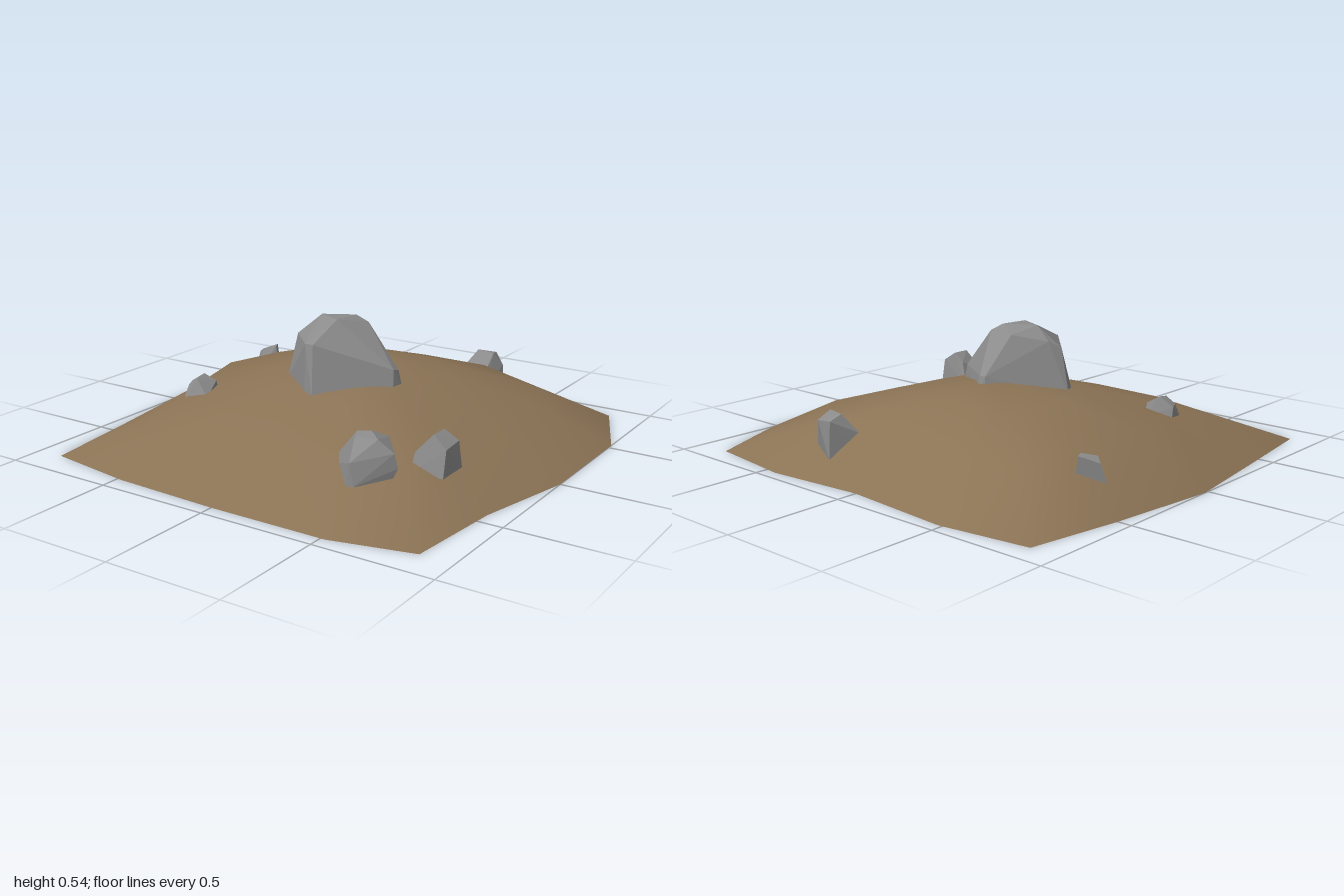
import * as THREE from 'three';
import { ConvexGeometry } from 'three/addons/geometries/ConvexGeometry.js';

const soil = new THREE.MeshStandardMaterial({ color: 0x8b7355 });
const stone = new THREE.MeshStandardMaterial({ color: 0x8c8c8c, flatShading: true });

// Footprint corners [x, z, height of the shoulder above that side]
const rim = [
  [-0.87, -0.9, 0.16], [-0.48, -0.95, 0.19], [0, -0.91, 0.21], [0.44, -0.95, 0.2],
  [0.84, -0.9, 0.15], [1, -0.53, 0.16], [1, 0, 0.15], [0.9, 0.43, 0.15],
  [0.86, 0.86, 0.13], [0.52, 0.94, 0.15], [0, 0.94, 0.16], [-0.48, 0.92, 0.16],
  [-0.88, 0.86, 0.14], [-0.94, 0.43, 0.18], [-1, -0.02, 0.21], [-0.94, -0.5, 0.19],
];
const peak = [-0.05, 0.33, -0.18];

function surface(positions, index) {
  const g = new THREE.BufferGeometry();
  g.setAttribute('position', new THREE.Float32BufferAttribute(positions, 3));
  g.setIndex(index);
  g.computeVertexNormals();
  return g;
}

// Rings shrinking from the rim towards the peak
function moundGeometry() {
  const pos = [], idx = [], n = rim.length;
  const rings = [0, 0.31, 0.65];
  rings.forEach((t, r) => {
    for (const [x, z, h] of rim) {
      const y = [0, h, 0.2 + h * 0.4][r];
      pos.push(x + (peak[0] - x) * t, y, z + (peak[2] - z) * t);
    }
  });
  pos.push(...peak);
  const top = rings.length * n;
  for (let r = 0; r < rings.length; r++) {
    for (let j = 0; j < n; j++) {
      const k = (j + 1) % n, a = r * n + j, b = r * n + k;
      if (r === rings.length - 1) idx.push(a, top, b);
      else idx.push(a, a + n, b, b, a + n, b + n);
    }
  }
  return surface(pos, idx);
}

// Flat underside
function undersideGeometry() {
  const pos = [0, 0, 0], idx = [];
  rim.forEach(([x, z], j) => {
    pos.push(x, 0, z);
    idx.push(0, j + 1, ((j + 1) % rim.length) + 1);
  });
  return surface(pos, idx);
}

// Each rock is the hull of a few corners [x, y, z]
const rocks = {
  largeRock: [
    [-0.29, 0.25, 0.03], [-0.26, 0.25, 0.09], [-0.07, 0.25, 0.23], [-0.02, 0.25, 0.25],
    [0.23, 0.25, 0.01], [0.24, 0.25, -0.05], [-0.02, 0.25, -0.26], [-0.07, 0.25, -0.25],
    [-0.23, 0.45, 0.05], [-0.2, 0.48, 0], [-0.08, 0.46, 0.21], [-0.04, 0.46, 0.21],
    [0.22, 0.33, -0.05], [0.22, 0.34, -0.01], [-0.06, 0.35, -0.24], [-0.03, 0.35, -0.24],
    [-0.13, 0.54, 0.01], [-0.02, 0.54, 0.06], [0, 0.54, -0.06], [0.05, 0.51, -0.08], [-0.09, 0.51, -0.11],
  ],
  frontRock: [
    [0.32, 0.17, 0.55], [0.34, 0.14, 0.59], [0.44, 0.09, 0.69], [0.47, 0.1, 0.68],
    [0.57, 0.11, 0.57], [0.59, 0.16, 0.56], [0.58, 0.22, 0.57], [0.5, 0.13, 0.43], [0.46, 0.13, 0.43],
    [0.45, 0.19, 0.68], [0.4, 0.27, 0.55], [0.43, 0.27, 0.61], [0.52, 0.27, 0.59],
    [0.46, 0.28, 0.54], [0.49, 0.24, 0.46],
  ],
  sideRock: [
    [0.56, 0.11, 0.3], [0.57, 0.1, 0.44], [0.71, 0.1, 0.43], [0.72, 0.11, 0.3],
    [0.58, 0.18, 0.42], [0.6, 0.22, 0.32], [0.65, 0.26, 0.32], [0.65, 0.26, 0.4],
    [0.71, 0.22, 0.31], [0.71, 0.21, 0.41],
  ],
  leftFrontRock: [
    [-0.65, 0.15, 0.26], [-0.63, 0.15, 0.36], [-0.51, 0.18, 0.34], [-0.54, 0.17, 0.22],
    [-0.65, 0.22, 0.27], [-0.62, 0.22, 0.33], [-0.59, 0.26, 0.26], [-0.58, 0.25, 0.32], [-0.54, 0.23, 0.24],
  ],
  backRock: [
    [0.16, 0.08, -0.72], [0.31, 0.08, -0.68], [0.35, 0.07, -0.8], [0.22, 0.07, -0.85],
    [0.17, 0.17, -0.73], [0.3, 0.18, -0.71], [0.34, 0.19, -0.8], [0.28, 0.23, -0.85], [0.22, 0.23, -0.84],
    [0.22, 0.25, -0.78], [0.31, 0.25, -0.76],
  ],
  leftBackRock: [
    [-0.82, 0.08, -0.4], [-0.73, 0.08, -0.49], [-0.68, 0.09, -0.42], [-0.75, 0.09, -0.33],
    [-0.8, 0.17, -0.42], [-0.74, 0.2, -0.48], [-0.72, 0.2, -0.44], [-0.77, 0.19, -0.4],
  ],
};

export function createModel() {
  const group = new THREE.Group();
  const add = (name, geometry, material) => {
    const mesh = new THREE.Mesh(geometry, material);
    mesh.name = name;
    group.add(mesh);
  };
  add('mound', moundGeometry(), soil);
  add('moundUnderside', undersideGeometry(), soil);
  for (const [name, corners] of Object.entries(rocks)) {
    add(name, new ConvexGeometry(corners.map((c) => new THREE.Vector3(...c))), stone);
  }
  return group;
}
